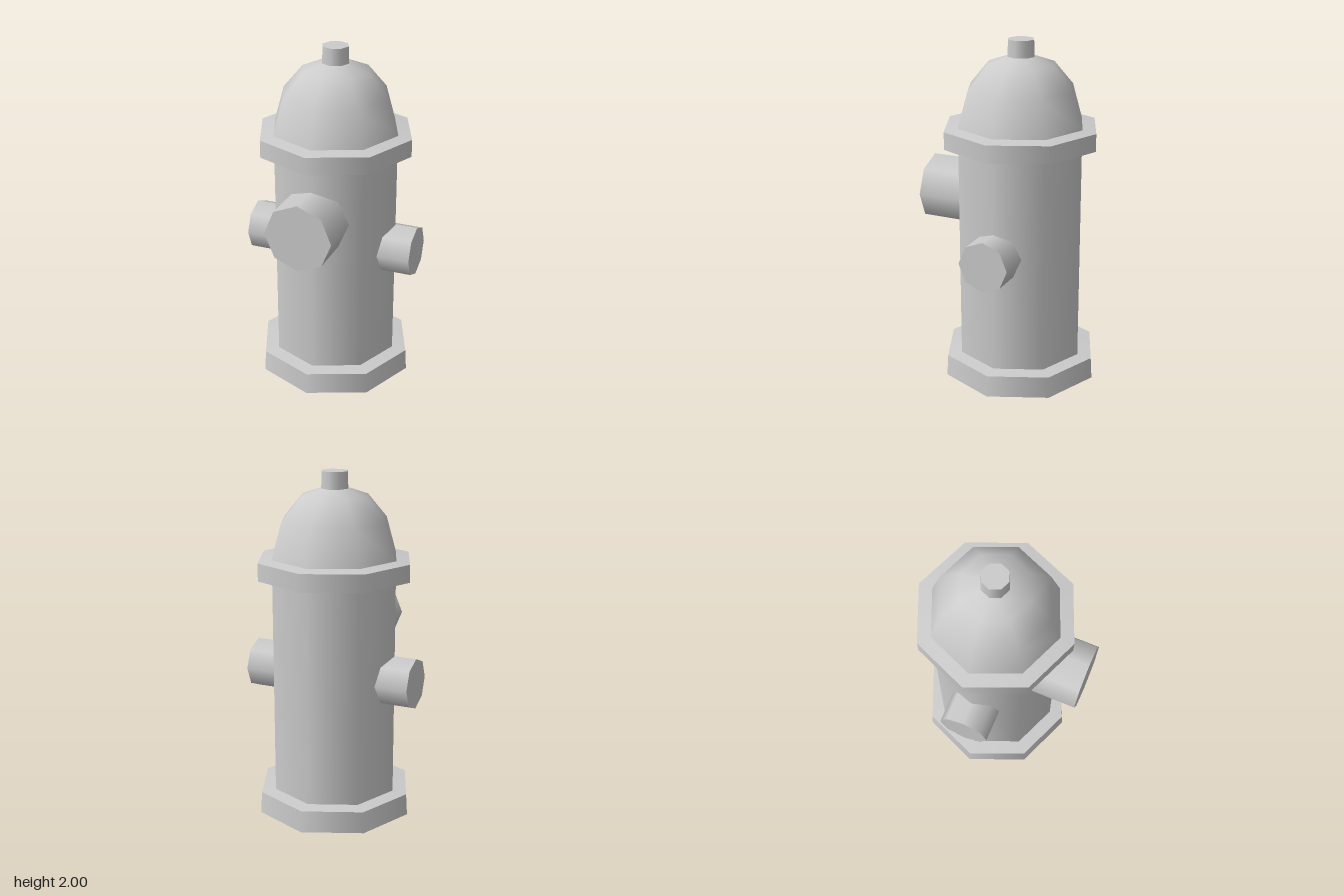
import * as THREE from 'three';

const SIDES = 8;
const AXIS_Z = -0.047; // the barrel sits slightly behind centre

const material = new THREE.MeshStandardMaterial({ color: 0xcccccc, side: THREE.DoubleSide });

// Octagonal turned shell, smooth along its profile
function turned(name, profile) {
  const points = profile.map(([r, y]) => new THREE.Vector2(r, y));
  const mesh = new THREE.Mesh(new THREE.LatheGeometry(points, SIDES), material);
  mesh.name = name;
  return mesh;
}

// Turned shell with a hard edge at every profile point
function creased(name, profile) {
  const group = new THREE.Group();
  group.name = name;
  for (let i = 0; i < profile.length - 1; i++) {
    group.add(turned(name + 'Band', [profile[i], profile[i + 1]]));
  }
  return group;
}

// Capped outlet running outward from the barrel along +z, turned about y
function outlet(name, radius, start, end, y, angle) {
  const geometry = new THREE.CylinderGeometry(radius, radius, end - start, SIDES);
  geometry.rotateX(Math.PI / 2);
  geometry.translate(0, y, (start + end) / 2);
  geometry.rotateY(angle);
  const mesh = new THREE.Mesh(geometry, material);
  mesh.name = name;
  return mesh;
}

export function createModel() {
  const hydrant = new THREE.Group();
  hydrant.name = 'hydrant';
  const barrelAssembly = new THREE.Group();
  barrelAssembly.name = 'barrelAssembly';
  barrelAssembly.position.z = AXIS_Z;
  hydrant.add(barrelAssembly);

  barrelAssembly.add(
    // Hollow foot, open underneath
    creased('base', [[0.468, 0], [0.46, 0.127], [0.374, 0.135]]),
    turned('barrel', [[0.374, 0.135], [0.374, 1.4]]),
    // Collar between barrel and dome
    creased('collar', [[0.374, 1.4], [0.457, 1.406], [0.457, 1.508], [0.376, 1.52]]),
    turned('dome', [[0.376, 1.52], [0.317, 1.724], [0.2, 1.862], [0.075, 1.906]]),
    outlet('frontOutlet', 0.198, 0.22, 0.515 - AXIS_Z, 1.07, 0)
  );

  // Operating nut on top
  const nut = new THREE.Mesh(new THREE.CylinderGeometry(0.077, 0.081, 0.1, SIDES), material);
  nut.name = 'topNut';
  nut.position.y = 1.95;
  barrelAssembly.add(nut);

  // Smaller outlets on both sides
  for (const side of [1, -1]) {
    const name = side > 0 ? 'leftOutlet' : 'rightOutlet';
    barrelAssembly.add(outlet(name, 0.148, 0.29, 0.505, 0.82, side * Math.PI / 2));
  }
  return hydrant;
}
